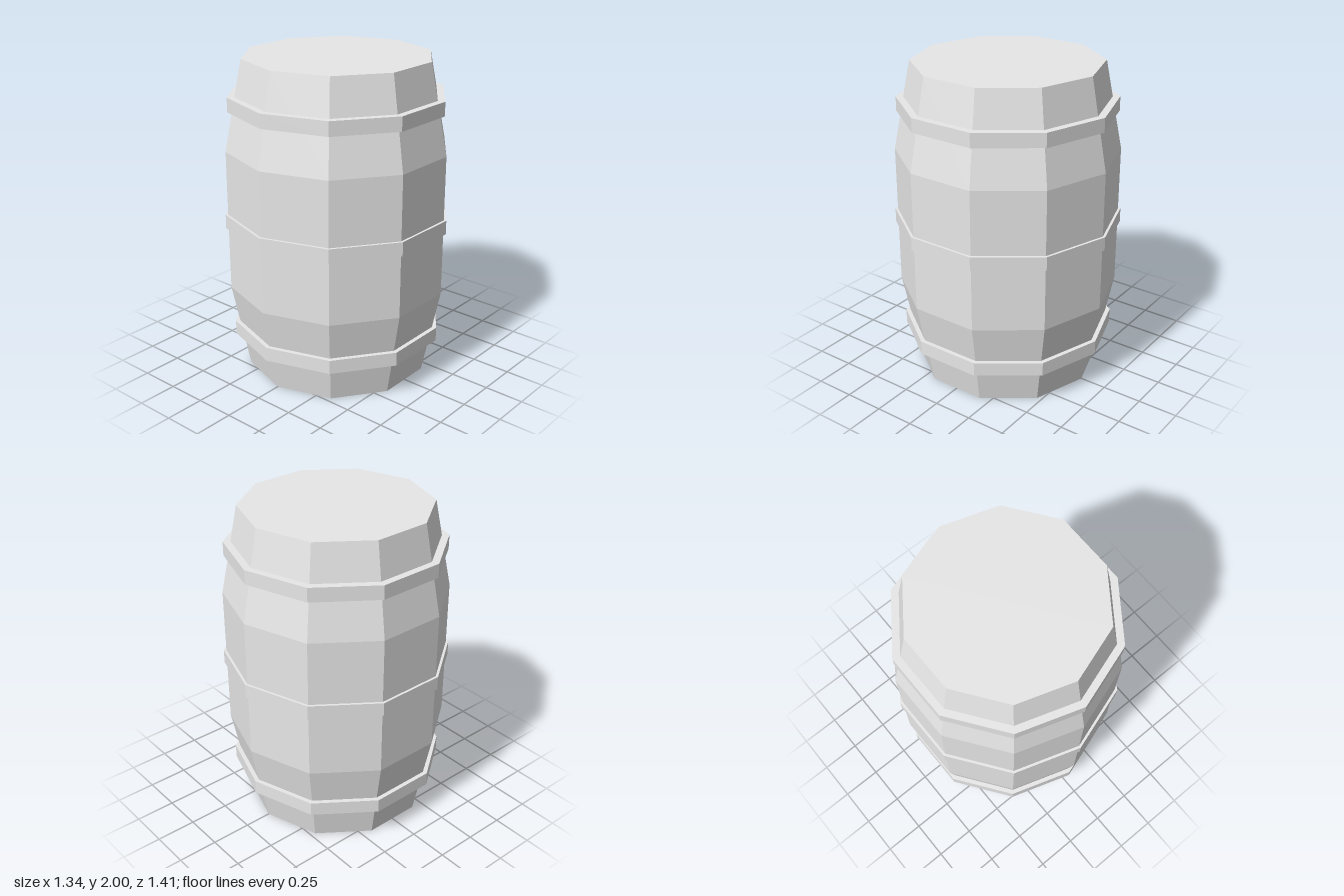
import * as THREE from 'three';

const SIDES = 10;

// Turn a [radius, y] profile into a ten-sided faceted solid
function lathe(name, profile, material) {
  const points = profile.map(([r, y]) => new THREE.Vector2(r, y));
  const mesh = new THREE.Mesh(new THREE.LatheGeometry(points, SIDES), material);
  mesh.name = name;
  return mesh;
}

// Flat hoop with a rectangular section, sunk slightly into the staves
function hoop(name, y, outer, inner, material) {
  const h = 0.044;
  return lathe(name, [
    [inner, y - h], [outer, y - h], [outer, y + h], [inner, y + h], [inner, y - h],
  ], material);
}

export function createModel() {
  const barrel = new THREE.Group();
  barrel.name = 'barrel';
  const paleGrey = new THREE.MeshStandardMaterial({ color: 0xe7e7e7, flatShading: true });
  paleGrey.name = 'paleGrey';

  // Bulging body with closed flat ends
  barrel.add(lathe('body', [
    [0, 0], [0.58, 0], [0.69, 0.555], [0.69, 1.445], [0.58, 2], [0, 2],
  ], paleGrey));

  // Three hoops, the middle one wider
  barrel.add(
    hoop('lowerHoop', 0.268, 0.67, 0.6, paleGrey),
    hoop('middleHoop', 1, 0.706, 0.67, paleGrey),
    hoop('upperHoop', 1.732, 0.67, 0.6, paleGrey),
  );
  return barrel;
}
